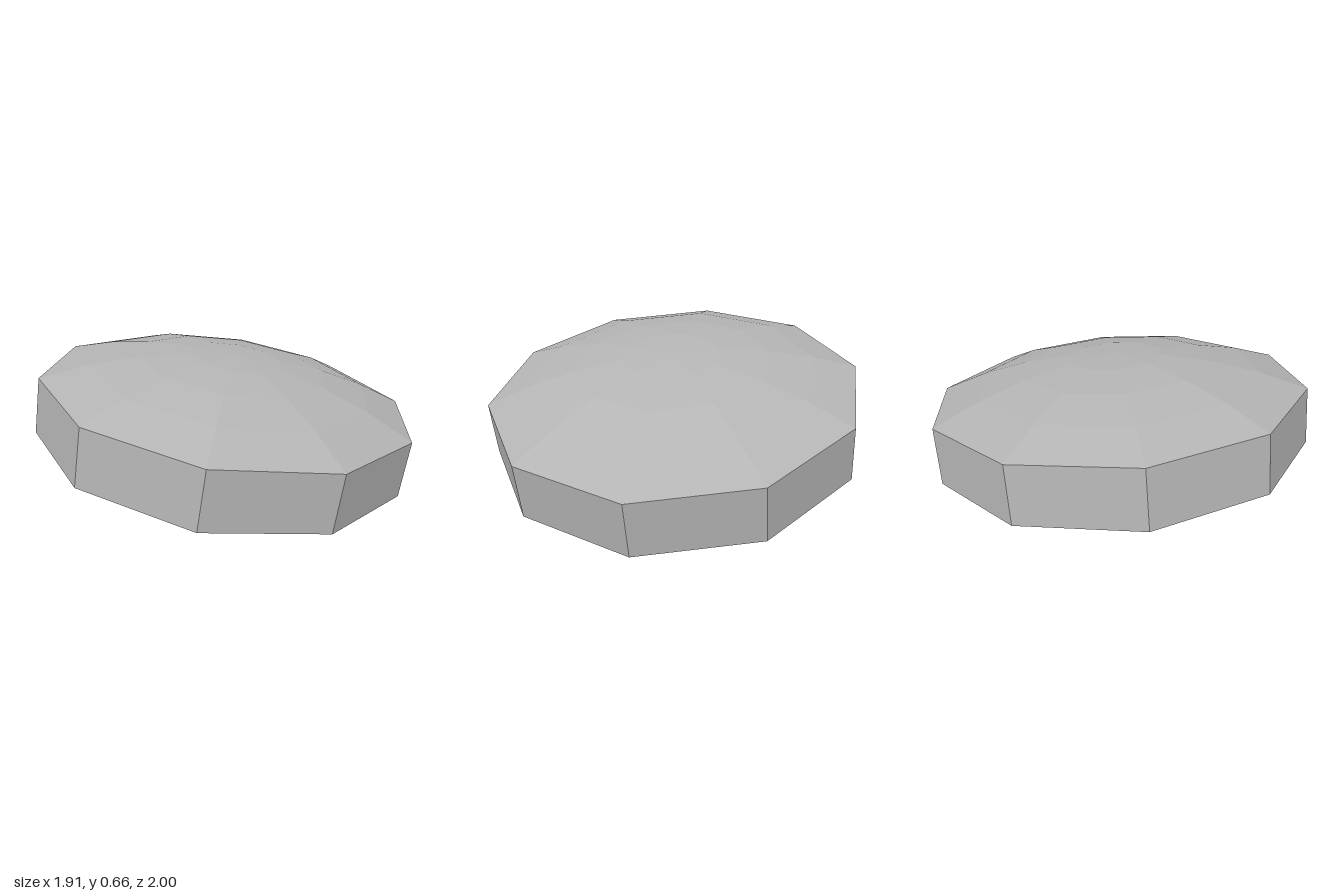
import * as THREE from 'three';

const SIDES = 10, RADIUS = 0.99, WALL = 0.298, RISE = 0.2;

export function createModel() {
  const stone = new THREE.MeshStandardMaterial({ color: 0xb4b4b4 });
  stone.name = 'grey stone';

  // Ten-sided faceted solid turned from a profile of [radius, height] pairs
  const turned = (name, profile) => {
    const points = profile.map(([r, y]) => new THREE.Vector2(r, y));
    const geometry = new THREE.LatheGeometry(points, SIDES).toNonIndexed();
    geometry.computeVertexNormals();
    const mesh = new THREE.Mesh(geometry, stone);
    mesh.name = name;
    return mesh;
  };

  // Flat underside and straight wall
  const base = turned('base', [[0, 0], [RADIUS, 0], [RADIUS, WALL]]);

  // Shallow spherical cap in four rings
  const sphere = (RADIUS ** 2 + RISE ** 2) / (2 * RISE);
  const spread = Math.asin(RADIUS / sphere);
  const cap = [];
  for (let i = 4; i >= 0; i--) {
    const a = spread * i / 4;
    cap.push([sphere * Math.sin(a), WALL + RISE - sphere * (1 - Math.cos(a))]);
  }
  const dome = turned('dome', cap);

  // The whole slab rests tilted on one edge
  const slab = new THREE.Group();
  slab.name = 'tiltedSlab';
  slab.add(base, dome);
  slab.rotation.set(0.0785, 0, -0.1235);
  slab.position.set(-0.02, 0.141, -0.011);

  const model = new THREE.Group();
  model.name = 'domedSlab';
  model.add(slab);
  return model;
}
